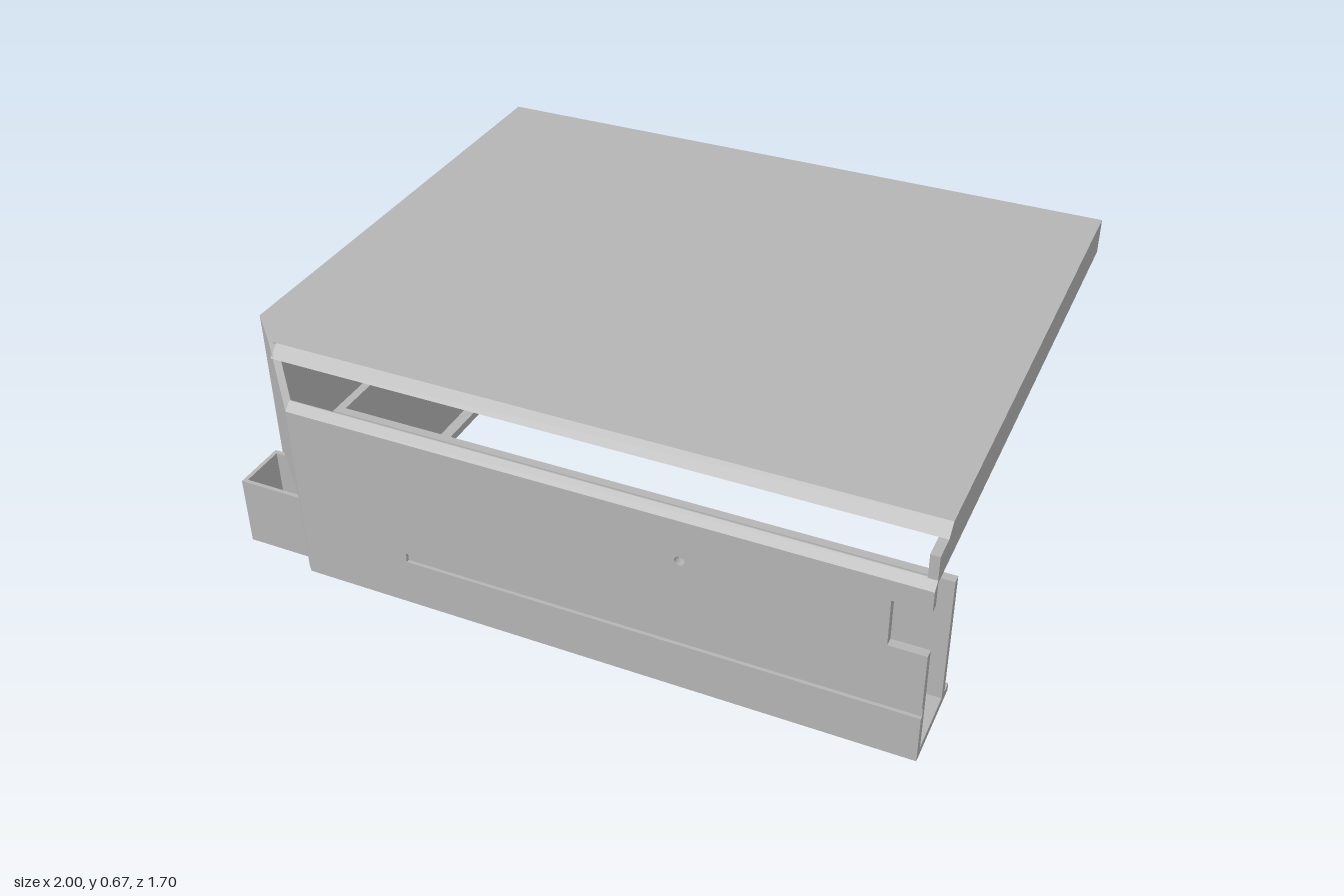
import * as THREE from 'three';

export function createModel() {
  const model = new THREE.Group();
  model.name = 'cornerHousing';
  const grey = new THREE.MeshStandardMaterial({ color: 0xb4b4b4 });
  grey.name = 'plainGrey';
  const T = 0.025; // sheet thickness

  const shapeOf = (pts) => new THREE.Shape(pts.map(([a, b]) => new THREE.Vector2(a, b)));
  const extrude = (shape, depth) =>
    new THREE.ExtrudeGeometry(shape, { depth, bevelEnabled: false, curveSegments: 8 });
  const add = (name, geometry) => {
    const mesh = new THREE.Mesh(geometry, grey);
    mesh.name = name;
    model.add(mesh);
  };
  // Box given by its minimum and maximum corners
  const box = (name, [x0, y0, z0], [x1, y1, z1]) =>
    add(name, new THREE.BoxGeometry(x1 - x0, y1 - y0, z1 - z0)
      .translate((x0 + x1) / 2, (y0 + y1) / 2, (z0 + z1) / 2));
  // Horizontal sheet from an (x, z) outline
  const sheet = (name, pts, y0, y1) =>
    add(name, extrude(shapeOf(pts), y1 - y0).rotateX(Math.PI / 2).translate(0, y1, 0));
  // Bar running along x from a (z, y) profile
  const bar = (name, pts, x0, x1) =>
    add(name, extrude(shapeOf(pts), x1 - x0).rotateY(-Math.PI / 2).translate(x1, 0, 0));
  // Upright sheet from a shape in x and y
  const panel = (name, shape, z0, z1) =>
    add(name, extrude(shape, z1 - z0).translate(0, 0, z0));

  // Roof with a clipped corner and its bevelled front lip
  sheet('roof', [[-1, -0.85], [1, -0.85], [1, 0.73], [-0.89, 0.73], [-1, 0.63]], 0.64, 0.67);
  bar('roofLip', [[0.72, 0.64], [0.762, 0.64], [0.73, 0.67], [0.72, 0.67]], -0.875, 1);

  // Skirts hanging from the roof
  box('backSkirt', [-1, 0.56, -0.85], [1, 0.67, -0.85 + T]);
  bar('sideSkirt', [[-0.85, 0.56], [0.83, 0.56], [0.83, 0.64], [0.762, 0.64],
    [0.73, 0.67], [-0.85, 0.67]], 1 - T, 1);

  // Outer side wall and L-shaped floor, notched at the corner
  box('sideWall', [-1, 0, -0.85], [-1 + T, 0.67, 0.63]);
  sheet('floor', [[-1, -0.85], [-0.73, -0.85], [-0.73, 0.58], [1, 0.58], [1, 0.85],
    [-0.75, 0.85], [-0.75, 0.67], [-0.96, 0.67], [-1, 0.63]], 0, T);

  // Low inner walls of the channel
  box('innerFrontWall', [-0.79, 0, 0.615], [1, 0.415, 0.64]);
  box('innerSideWall', [-0.79, 0, -0.85], [-0.765, 0.415, 0.64]);

  // Front wall: backing layer and grooved face layer, both with notch and pinhole
  const notchedEdge = [[1, 0.35], [0.9, 0.35], [0.9, 0.49], [1, 0.49], [1, 0.55], [-0.78, 0.55]];
  const groove = [[1, 0.145], [-0.45, 0.145], [-0.45, 0.175], [1, 0.175]];
  const wallShape = (cut) => {
    const shape = shapeOf([[-0.78, 0], [1, 0], ...cut, ...notchedEdge]);
    shape.holes.push(new THREE.Path().absarc(0.36, 0.425, 0.014, 0, Math.PI * 2, true));
    return shape;
  };
  panel('frontWallBacking', wallShape([]), 0.825, 0.84);
  panel('frontWallFace', wallShape(groove), 0.84, 0.85);
  bar('frontWallBevel', [[0.825, 0.55], [0.85, 0.55], [0.828, 0.572], [0.825, 0.572]], -0.78, 1);

  // Diagonal corner wall with an opening at its foot
  const r = Math.SQRT2, t = 0.02;
  const corner = shapeOf([[0, 0], [0.025 * r, 0], [0.025 * r, 0.24], [0.2 * r, 0.24], [0.2 * r, 0],
    [0.22 * r, 0], [0.22 * r, 0.55], [0.105 * r, 0.67], [0, 0.67]]);
  add('cornerWall', extrude(corner, t).rotateY(-Math.PI / 4)
    .translate(-1 + t / r, 0, 0.63 - t / r));

  // Open square duct passing through the corner
  const w = 0.012;
  sheet('cornerDuctLeftWall', [[-0.99, 0.67], [-0.99 + w, 0.67], [-0.99 + w, 0.83], [-0.99, 0.83]], 0.03, 0.24);
  box('cornerDuctRightWall', [-0.75 - w, 0.03, 0.67], [-0.75, 0.24, 0.83]);
  box('cornerDuctFrontWall', [-0.99, 0.03, 0.83 - w], [-0.75, 0.24, 0.83]);
  box('cornerDuctBackWall', [-0.99, 0.03, 0.67], [-0.75, 0.24, 0.67 + w]);

  return model;
}
